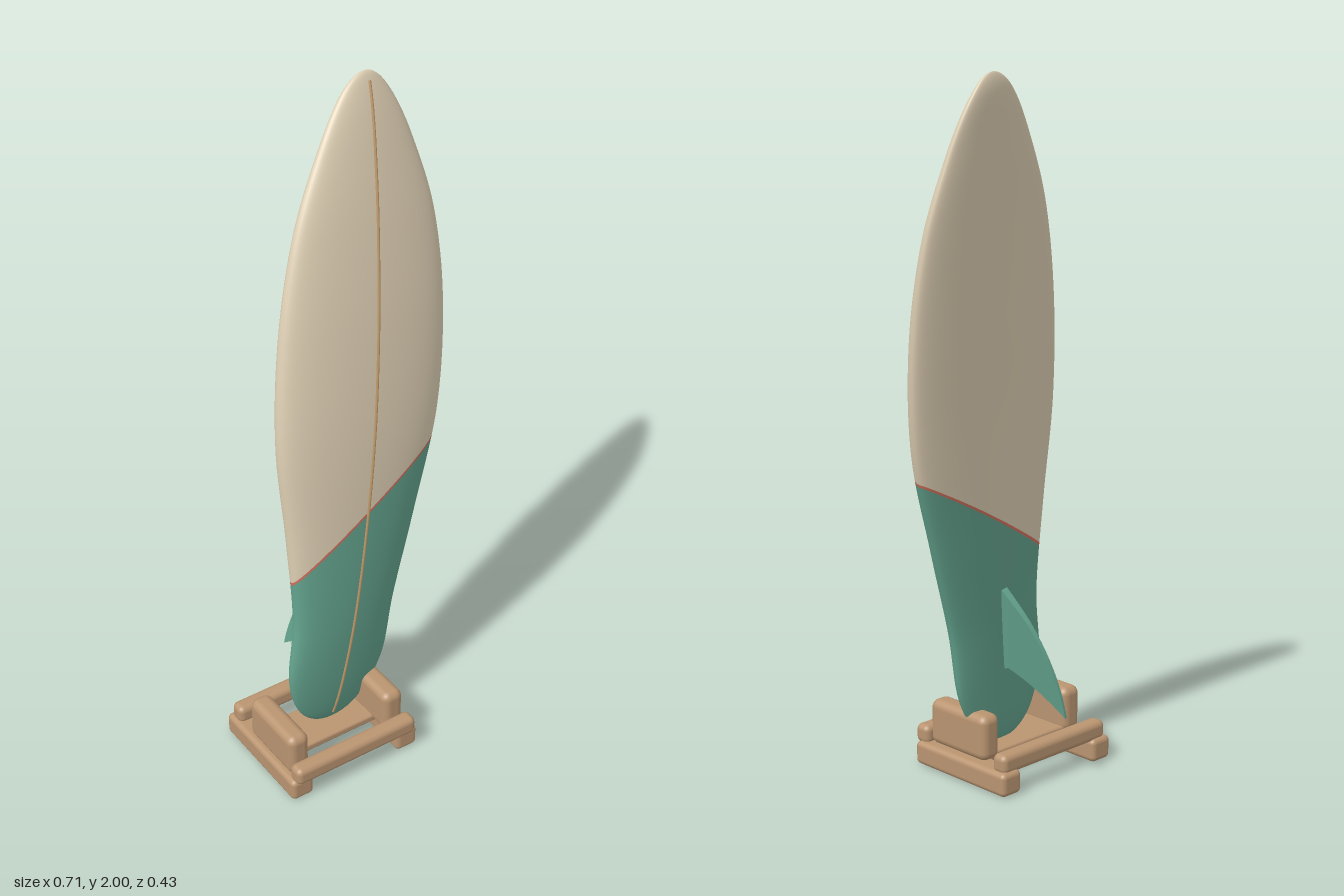
import * as THREE from 'three';
import { RoundedBoxGeometry } from 'three/addons/geometries/RoundedBoxGeometry.js';

const mat = (name, color, side = THREE.FrontSide) => {
  const m = new THREE.MeshStandardMaterial({ color, side });
  m.name = name;
  return m;
};

// Board frame: long axis, width axis and deck normal (leaning right, slightly turned)
const LENGTH = 1.942, YAW = 0.07;
const TAIL = new THREE.Vector3(-0.13, 0.08, 0);
const AXIS = new THREE.Vector3(0.157, 0.988, 0);
const WIDTH = new THREE.Vector3(0.988 * Math.cos(YAW), -0.157, -0.988 * Math.sin(YAW));
const NORMAL = new THREE.Vector3(Math.sin(YAW), 0, Math.cos(YAW));
const place = (s, u, n) => TAIL.clone()
  .addScaledVector(AXIS, s).addScaledVector(WIDTH, u).addScaledVector(NORMAL, n);

// Stations from tail to nose, packed towards both ends
const HALF_WIDTH = [0, 0.105, 0.17, 0.18, 0.226, 0.28, 0.282, 0.239, 0.156, 0.075, 0];
const DECK = [0.03, 0.052, 0.07, 0.079, 0.07, 0.044, -0.004, -0.064, -0.123, -0.17, -0.2];
const BOTTOM = [0.03, 0.012, -0.001, -0.02, -0.052, -0.087, -0.125, -0.16, -0.19, -0.208, -0.2];

// Smooth value of a station list at distance s along the board
function along(list, s) {
  const last = list.length - 1;
  const c = THREE.MathUtils.clamp(1 - 2 * s / LENGTH, -1, 1);
  const t = Math.acos(c) / Math.PI * last;
  const i = Math.min(Math.floor(t), last - 1), f = t - i;
  const b = list[i], d = list[i + 1];
  const a = i > 0 ? list[i - 1] : 2 * b - d;
  const e = i + 2 <= last ? list[i + 2] : 2 * d - b;
  return b + 0.5 * f * (d - a + f * (2 * a - 5 * b + 4 * d - e + f * (3 * (b - d) + e - a)));
}

function boardPoint(s, phi) {
  const deck = along(DECK, s), bottom = along(BOTTOM, s);
  const rail = bottom + 0.42 * (deck - bottom);
  const sin = Math.sin(phi), h = Math.abs(sin) ** 0.88;
  const n = sin > 0 ? rail + (deck - rail) * h : rail + (bottom - rail) * h;
  return place(s, along(HALF_WIDTH, s) * Math.cos(phi), n);
}

// Slanted edge of the painted tail
function paintEdge(phi) {
  const k = Math.cos(phi);
  return 0.683 + 0.76 * (0.235 + 0.027 * k) * k + 0.05 * Math.max(0, Math.sin(phi));
}

function boardGeometry() {
  const cols = 72, tailRows = 36, noseRows = 48, stripe = 0.009;
  const rows = tailRows + 1 + noseRows;
  const pos = [], index = [];
  for (let r = 0; r <= rows; r++) {
    for (let c = 0; c < cols; c++) {
      const phi = c / cols * Math.PI * 2, edge = paintEdge(phi);
      let s;
      if (r <= tailRows) s = edge * (1 - Math.cos(r / tailRows * Math.PI / 2));
      else {
        const q = (r - tailRows - 1) / noseRows;
        s = edge + stripe + (LENGTH - edge - stripe) * Math.sin(q * Math.PI / 2);
      }
      pos.push(...boardPoint(s, phi).toArray());
    }
  }
  for (let r = 0; r < rows; r++) {
    for (let c = 0; c < cols; c++) {
      const a = r * cols + c, b = r * cols + (c + 1) % cols;
      index.push(a, a + cols, b, b, a + cols, b + cols);
    }
  }
  const g = new THREE.BufferGeometry();
  g.setAttribute('position', new THREE.Float32BufferAttribute(pos, 3));
  g.setIndex(index);
  g.computeVertexNormals();
  const per = cols * 6;
  g.addGroup(0, tailRows * per, 0);
  g.addGroup(tailRows * per, per, 1);
  g.addGroup((tailRows + 1) * per, noseRows * per, 2);
  return g;
}

// Swept fin, drawn as distance along the board against distance behind it
function finGeometry() {
  const shape = new THREE.Shape();
  shape.moveTo(0.22, 0.02);
  shape.lineTo(0.235, -0.02);
  shape.quadraticCurveTo(0.195, -0.12, 0.12, -0.208);
  shape.quadraticCurveTo(0.26, -0.2, 0.39, -0.11);
  shape.quadraticCurveTo(0.44, -0.07, 0.48, -0.03);
  shape.lineTo(0.48, 0.02);
  const g = new THREE.ExtrudeGeometry(shape, { depth: 1, bevelEnabled: false, curveSegments: 14 });
  const p = g.attributes.position;
  for (let i = 0; i < p.count; i++) {
    const n = p.getY(i);
    const thick = 0.026 * (1 - 0.75 * THREE.MathUtils.clamp(-n / 0.21, 0, 1));
    const v = place(p.getX(i), (p.getZ(i) - 0.5) * thick, n);
    p.setXYZ(i, v.x, v.y, v.z);
  }
  g.computeVertexNormals();
  return g;
}

export function createModel() {
  const model = new THREE.Group();
  model.name = 'surfboardOnStand';
  const cream = mat('cream', 0xdccdb2);
  const teal = mat('teal', 0x63a28d);
  const finTeal = mat('finTeal', 0x63a28d, THREE.DoubleSide);
  const coral = mat('coral', 0xd0705c);
  const wood = mat('wood', 0xb99470);
  const stringerWood = mat('stringerWood', 0xbd9768);

  const add = (parent, name, geometry, material) => {
    const mesh = new THREE.Mesh(geometry, material);
    mesh.name = name;
    parent.add(mesh);
    return mesh;
  };

  // Board with painted tail, pinstripe, stringer and fin
  const board = new THREE.Group();
  board.name = 'board';
  model.add(board);
  add(board, 'hull', boardGeometry(), [teal, coral, cream]);
  const path = [];
  for (let i = 0; i <= 40; i++) path.push(boardPoint(0.03 + i / 40 * 1.89, Math.PI / 2));
  add(board, 'stringer',
    new THREE.TubeGeometry(new THREE.CatmullRomCurve3(path), 100, 0.0045, 6), stringerWood);
  add(board, 'fin', finGeometry(), finTeal);

  // Wooden stand
  const stand = new THREE.Group();
  stand.name = 'stand';
  model.add(stand);
  const block = (name, x0, x1, y0, y1, z0, z1, radius) => {
    const g = new RoundedBoxGeometry(x1 - x0, y1 - y0, z1 - z0, 4, radius);
    add(stand, name, g, wood).position.set((x0 + x1) / 2, (y0 + y1) / 2, (z0 + z1) / 2);
  };
  for (const [side, foot, chock] of [['right', -0.365, -0.35], ['left', 0.001, -0.021]]) {
    block(side + 'Foot', foot, foot + 0.074, 0, 0.07, -0.162, 0.204, 0.016);
    block(side + 'Chock', chock, chock + 0.068, 0.065, 0.2, -0.055, 0.172, 0.024);
  }
  block('frontBar', -0.353, 0.062, 0.06, 0.117, 0.165, 0.217, 0.018);
  block('backBar', -0.353, 0.062, 0.06, 0.117, -0.152, -0.1, 0.018);
  block('floorPlate', -0.31, 0.01, 0.06, 0.085, -0.045, 0.106, 0.008);
  return model;
}
